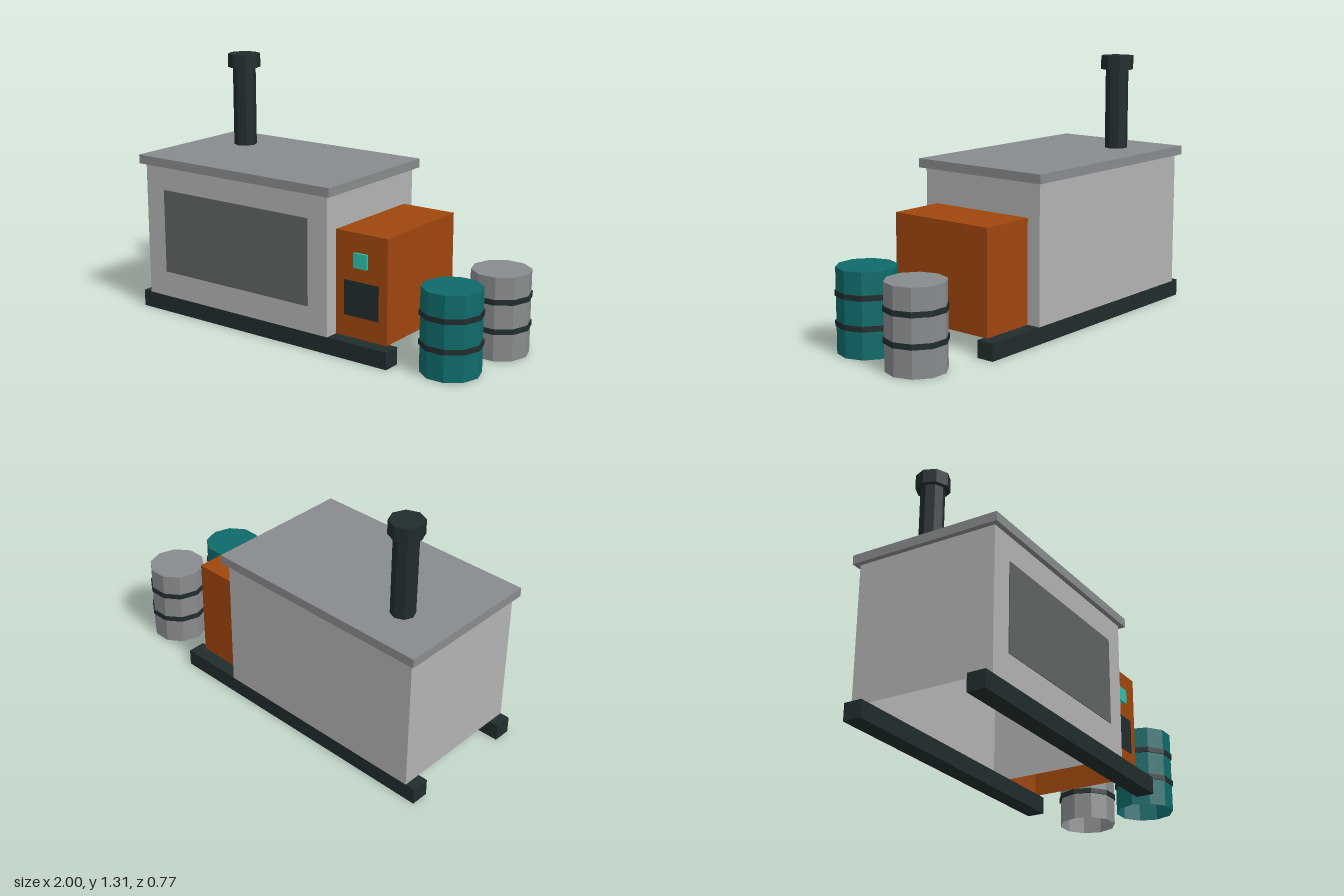
import * as THREE from 'three';

const paint = (name, color) => new THREE.MeshStandardMaterial({
  name, color, flatShading: true, side: THREE.DoubleSide,
});

// Drops whole faces of a box or cylinder by group number, leaving it open there.
function openFaces(geometry, omitted) {
  const index = geometry.getIndex().array;
  const kept = [];
  geometry.groups.forEach((g, i) => {
    if (!omitted.includes(i)) kept.push(...index.slice(g.start, g.start + g.count));
  });
  geometry.setIndex(kept);
  geometry.clearGroups();
  return geometry;
}

// Box between two corners; omitted faces: 0 +x, 1 -x, 2 top, 3 bottom, 4 +z, 5 -z.
function box(parent, name, material, [x0, y0, z0], [x1, y1, z1], omitted = []) {
  const geometry = openFaces(new THREE.BoxGeometry(x1 - x0, y1 - y0, z1 - z0), omitted);
  const mesh = new THREE.Mesh(geometry, material);
  mesh.name = name;
  mesh.position.set((x0 + x1) / 2, (y0 + y1) / 2, (z0 + z1) / 2);
  parent.add(mesh);
}

// Upright prism between two heights; omitted faces: 0 side, 1 top, 2 bottom.
function prism(parent, name, material, radius, sides, y0, y1, turn = 0, omitted = []) {
  const geometry = openFaces(
    new THREE.CylinderGeometry(radius, radius, y1 - y0, sides, 1, false, turn), omitted);
  const mesh = new THREE.Mesh(geometry, material);
  mesh.name = name;
  mesh.position.y = (y0 + y1) / 2;
  parent.add(mesh);
}

export function createModel() {
  const model = new THREE.Group();
  model.name = 'generatorHut';

  const wall = paint('lightGrey', 0xb2b2b2);
  const metal = paint('midGrey', 0x888b8d);
  const dark = paint('charcoal', 0x212c2d);
  const grille = paint('grilleGrey', 0x5f6363);
  const rust = paint('rustOrange', 0xa0460e);
  const teal = paint('teal', 0x0f6a6b);
  const glow = paint('screenTeal', 0x2ebfa8);

  // Skids under the front and back walls
  for (const side of [-1, 1]) {
    box(model, 'skid', dark,
      [-1, 0, side * 0.315 - 0.046], [0.55, 0.086, side * 0.315 + 0.046]);
  }

  // Housing shell, open below, with overhanging roof and front grille
  box(model, 'housing', wall, [-0.95, 0.086, -0.362], [0.21, 0.783, 0.362], [2, 3]);
  box(model, 'roof', metal, [-0.976, 0.783, -0.387], [0.238, 0.829, 0.387]);
  box(model, 'grille', grille, [-0.83, 0.22, 0.362], [0.095, 0.658, 0.366]);

  // Control cabinet against the housing, with screen and vent
  box(model, 'cabinet', rust, [0.21, 0.086, -0.29], [0.505, 0.608, 0.29], [1, 3]);
  box(model, 'cabinetScreen', glow, [0.32, 0.44, 0.29], [0.396, 0.513, 0.305]);
  box(model, 'cabinetVent', dark, [0.26, 0.195, 0.29], [0.457, 0.37, 0.294]);

  // Exhaust stack with a wider cap
  const stack = new THREE.Group();
  stack.name = 'exhaustStack';
  stack.position.set(-0.711, 0, -0.146);
  prism(stack, 'exhaustPipe', dark, 0.06, 8, 0.829, 1.243, 0, [2]);
  prism(stack, 'exhaustCap', dark, 0.085, 8, 1.243, 1.314);
  model.add(stack);

  // Ten-sided drums, open below, each with two bands
  const barrels = [['tealBarrel', teal, 0.797, 0.194], ['greyBarrel', metal, 0.848, -0.169]];
  for (const [name, material, x, z] of barrels) {
    const barrel = new THREE.Group();
    barrel.name = name;
    barrel.position.set(x, 0, z);
    prism(barrel, 'drum', material, 0.146, 10, 0, 0.414, Math.PI / 2, [2]);
    for (const y of [0.147, 0.292]) {
      prism(barrel, 'band', dark, 0.152, 10, y - 0.013, y + 0.013, Math.PI / 2);
    }
    model.add(barrel);
  }

  return model;
}
